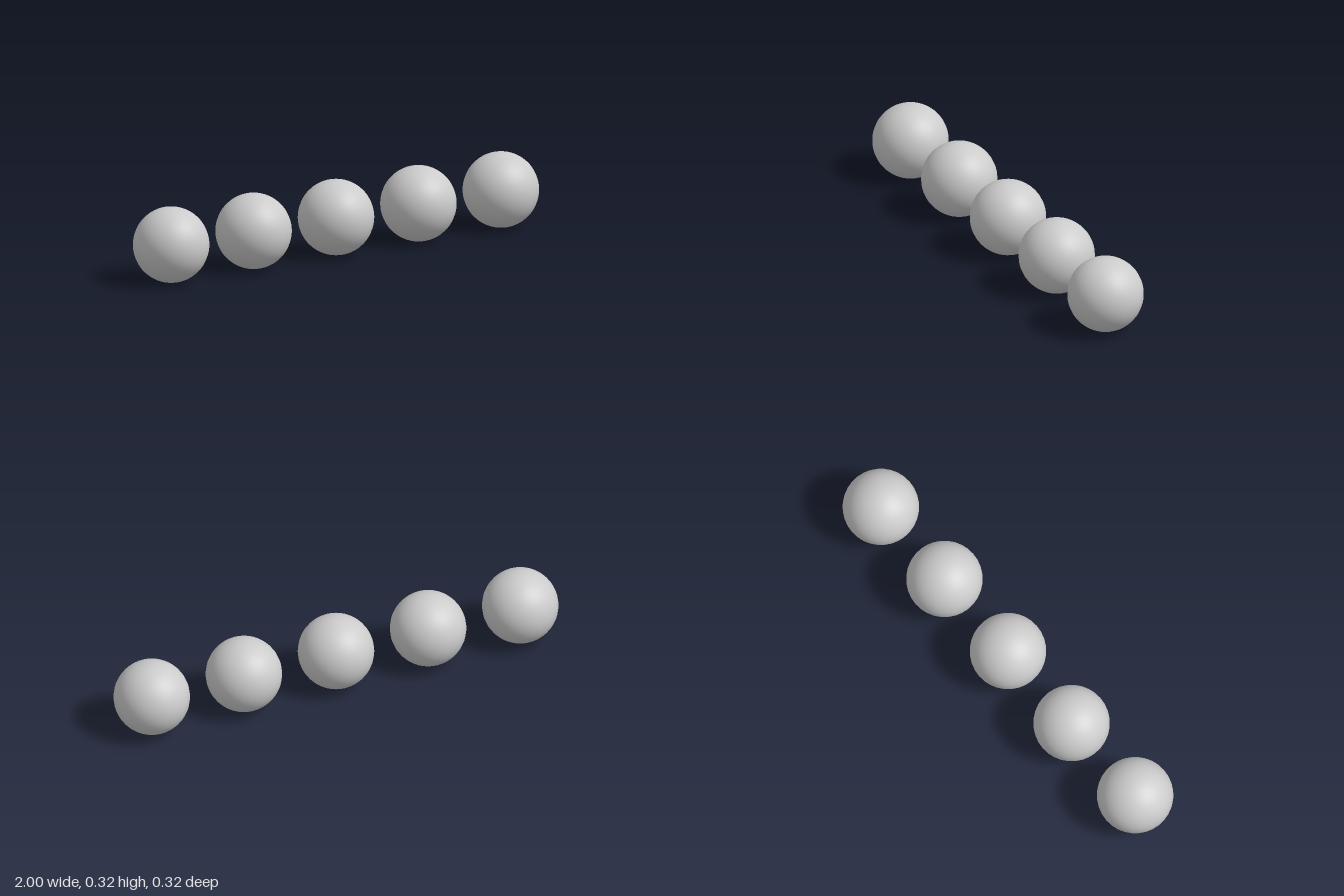
import * as THREE from 'three';

export function createModel() {
  const group = new THREE.Group();
  group.name = 'ballRow';

  const count = 5;
  const radius = 0.1613;
  const spacing = radius * 2.6;
  const material = new THREE.MeshStandardMaterial({ color: 0xcccccc });
  const geometry = new THREE.SphereGeometry(radius, 32, 32);

  // Evenly spaced row of equal balls resting on the ground
  for (let i = 0; i < count; i++) {
    const ball = new THREE.Mesh(geometry, material);
    ball.name = `ball${i + 1}`;
    ball.position.set((i - (count - 1) / 2) * spacing, radius, 0);
    group.add(ball);
  }
  return group;
}
